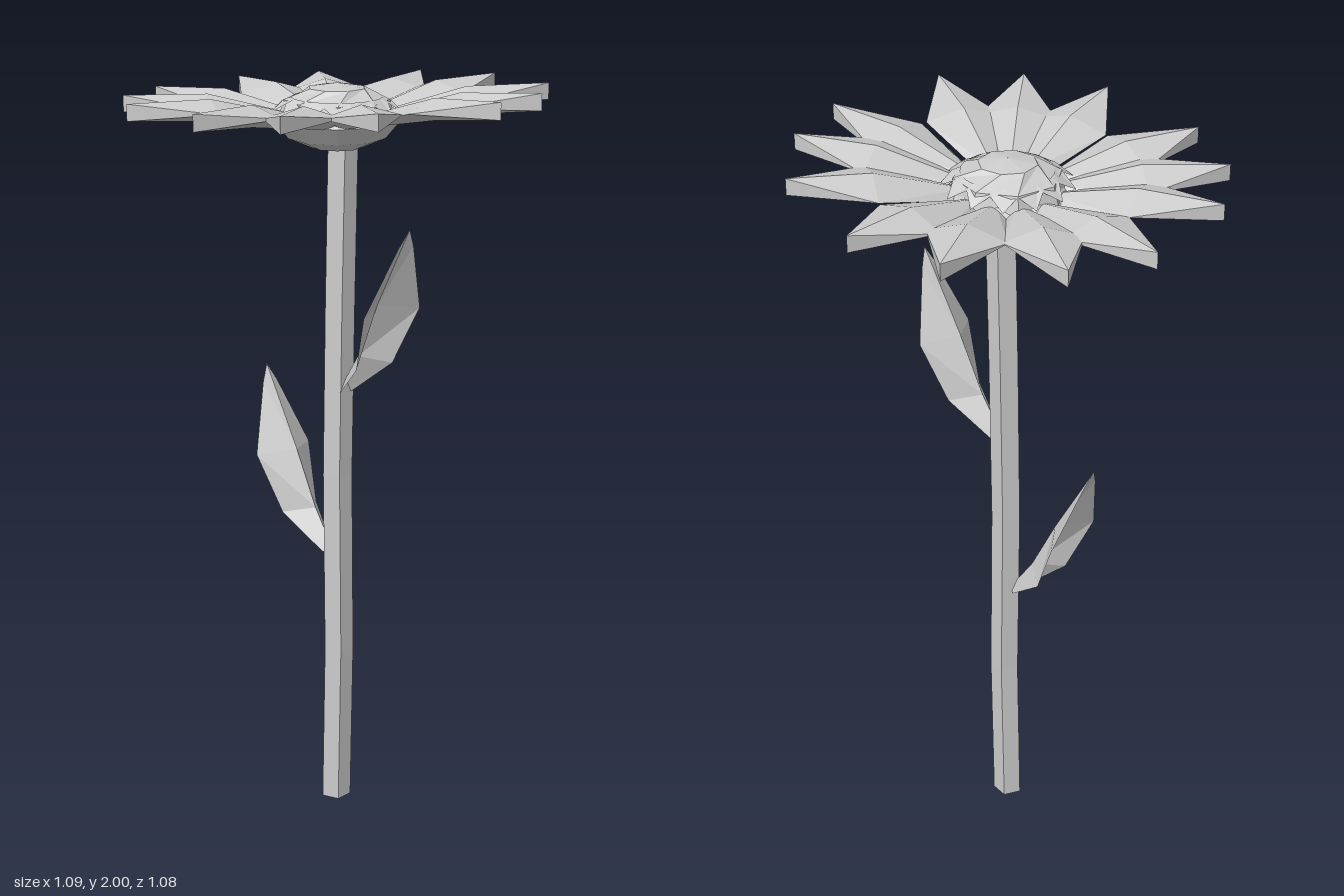
import * as THREE from 'three';

const grey = new THREE.MeshStandardMaterial({ color: 0xcccccc, flatShading: true, side: THREE.DoubleSide });
grey.name = 'pale grey';

// Faceted mesh from a list of polygons, each fanned into triangles
function faceted(name, polygons) {
  const pos = [];
  for (const p of polygons)
    for (let i = 1; i < p.length - 1; i++) pos.push(...p[0], ...p[i], ...p[i + 1]);
  const geo = new THREE.BufferGeometry();
  geo.setAttribute('position', new THREE.Float32BufferAttribute(pos, 3));
  geo.computeVertexNormals();
  const mesh = new THREE.Mesh(geo, grey);
  mesh.name = name;
  return mesh;
}

// Quads joining rings of points, ordered bottom to top
function bands(rings) {
  const out = [];
  for (let j = 0; j < rings.length - 1; j++) {
    const a = rings[j], b = rings[j + 1], n = a.length;
    for (let i = 0; i < n; i++) {
      const k = (i + 1) % n;
      out.push([a[i], a[k], b[k], b[i]]);
    }
  }
  return out;
}

function ring(n, r, y, cx = 0, cz = 0, start = 0) {
  return Array.from({ length: n }, (_, i) => {
    const a = start + (i / n) * Math.PI * 2;
    return [cx + r * Math.sin(a), y, cz + r * Math.cos(a)];
  });
}

// Gently bent five-sided stem
function makeStem() {
  const path = [[-0.003, 0, 0.002], [0.004, 0.45, 0.006], [0, 0.95, 0.003], [0.006, 1.4, 0], [0.014, 1.86, -0.001]];
  const rings = path.map(([x, y, z]) => ring(5, 0.041, y, x, z, 0.157));
  return faceted('stem', [...bands(rings), [...rings[0]].reverse(), rings[4]]);
}

// Folded leaf; rows: edge radius, edge height, half width, midrib radius, midrib height
function makeLeaf(name, drop, turn) {
  const rows = [
    [0.035, 1.18, 0.02, 0.01, 1.18],
    [0.15, 1.275, 0.062, 0.085, 1.29],
    [0.217, 1.43, 0.095, 0.16, 1.44],
    [0.268, 1.61, 0.025, 0.255, 1.61],
    [0.281, 1.657, 0, 0.281, 1.657],
  ];
  const polys = [];
  for (let i = 0; i < rows.length - 1; i++) {
    const [a, b] = [rows[i], rows[i + 1]];
    for (const s of [1, -1]) {
      const q = [[0, a[4], a[3]], [s * a[2], a[1], a[0]], [s * b[2], b[1], b[0]], [0, b[4], b[3]]];
      polys.push(s > 0 ? q : q.reverse());
    }
  }
  const leaf = faceted(name, polys);
  leaf.rotation.y = turn;
  leaf.position.y = -drop;
  return leaf;
}

// Wedge petal with a raised ridge, a keel and an upright tip edge
function makePetal(tx, tz) {
  const len = Math.hypot(tx, tz), dx = tx / len, dz = tz / len;
  const at = (r, w, y) => {
    const x = dx * r + dz * w, z = dz * r - dx * w;
    return [x, y + 0.03 * x + 0.045 * z, z];
  };
  const rootT = at(0.1, 0, 1.91), rootB = at(0.1, 0, 1.88);
  const midT = at(0.33, 0, 1.967), midB = at(0.33, 0, 1.912);
  const tipT = at(len, 0, 1.968), tipB = at(len, 0, 1.925);
  const polys = [];
  for (const s of [1, -1]) {
    const root = at(0.1, s * 0.025, 1.89), side = at(0.335, s * 0.1, 1.938);
    const half = [
      [rootT, midT, side], [rootT, side, root], [midT, tipT, side],
      [rootB, side, midB], [rootB, root, side], [midB, side, tipB], [tipT, tipB, side],
    ];
    polys.push(...half.map((p) => (s > 0 ? p.reverse() : p)));
  }
  return faceted('petal', polys);
}

export function createModel() {
  const flower = new THREE.Group();
  flower.name = 'flower';
  flower.add(makeStem());
  flower.add(makeLeaf('upperLeaf', 0, 0.68), makeLeaf('lowerLeaf', 0.462, 0.73 + Math.PI));

  // Petal tips seen from above, as x and z
  const tips = [
    [-0.04, -0.54], [0.24, -0.48], [0.43, -0.325], [0.54, -0.025], [0.495, 0.22], [0.38, 0.385], [0.085, 0.535],
    [-0.14, 0.52], [-0.345, 0.42], [-0.52, 0.155], [-0.545, -0.06], [-0.475, -0.265], [-0.26, -0.48],
  ];
  const petals = new THREE.Group();
  petals.name = 'petals';
  tips.forEach(([x, z]) => petals.add(makePetal(x, z)));
  flower.add(petals);

  // Bowl under the petals
  const bowl = [ring(9, 0.065, 1.825), ring(9, 0.125, 1.85), ring(9, 0.163, 1.895), ring(9, 0.13, 1.925)];
  flower.add(faceted('calyx', [...bands(bowl), [...bowl[0]].reverse()]));

  // Domed centre
  const dome = [ring(8, 0.148, 1.9), ring(8, 0.135, 1.945), ring(8, 0.075, 1.975, 0, 0, 0.39), ring(8, 0.001, 1.987)];
  const centre = faceted('centre', bands(dome));
  centre.position.z = -0.008;
  flower.add(centre);

  // Toothed frill around the centre
  const inner = ring(26, 0.115, 1.953);
  const outer = ring(26, 1, 0).map(([x, , z], i) => {
    const r = i % 2 ? 0.138 : 0.17;
    return [x * r, i % 2 ? 1.942 : 1.915, z * r];
  });
  const frill = faceted('centreFrill', bands([outer, inner]));
  frill.position.z = -0.003;
  flower.add(frill);
  return flower;
}
